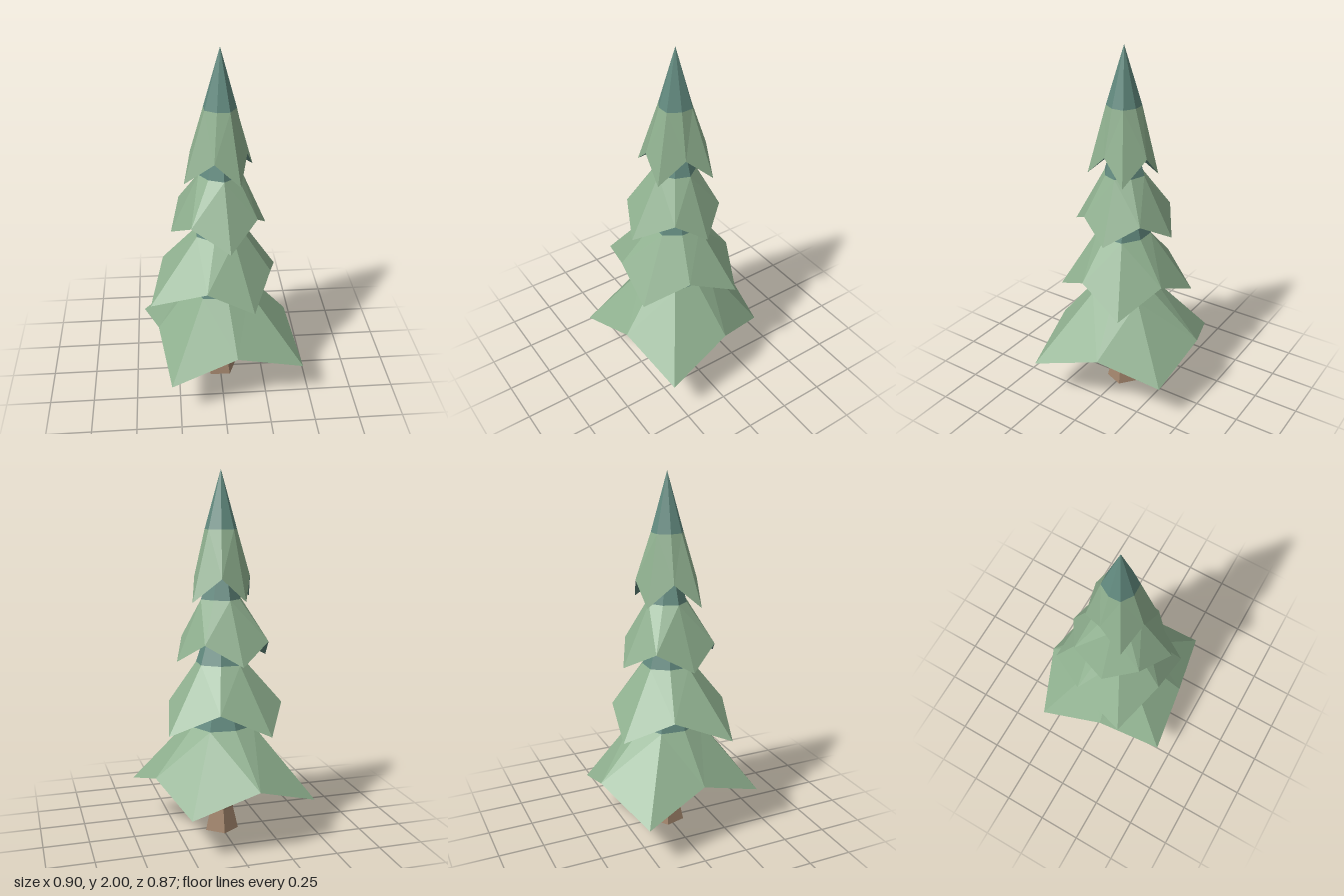
import * as THREE from 'three';

const mat = (name, color) => {
  const m = new THREE.MeshStandardMaterial({ color, flatShading: true });
  m.name = name;
  return m;
};

// Each tier: corners alternate low branch tip / raised notch, as x, z pairs around the trunk.
const TIERS = [
  { low: 0.23, notch: 0.36, ringY: 0.62, ringR: 0.182, apex: 1.08,
    corners: [.45, .31, .07, .38, -.295, .43, -.36, .06, -.45, -.30, -.09, -.435, .265, -.40, .39, -.08] },
  { low: 0.62, notch: 0.745, ringY: 0.97, ringR: 0.142, apex: 1.4,
    corners: [.165, .32, -.09, .30, -.395, .205, -.32, -.10, -.185, -.335, .085, -.295, .335, -.18, .275, .09] },
  { low: 0.99, notch: 1.10, ringY: 1.32, ringR: 0.112, apex: 1.72,
    corners: [.035, .30, -.165, .205, -.27, .035, -.22, -.16, -.045, -.275, .14, -.19, .255, -.035, .19, .13] },
  { low: 1.315, notch: 1.44, ringY: 1.69, ringR: 0.09, apex: 2,
    corners: [.095, .17, -.04, .155, -.195, .11, -.155, -.03, -.095, -.155, .04, -.165, .185, -.11, .14, .03] },
];

// Mesh from a list of triangle corner points
function facets(name, points, material) {
  const geo = new THREE.BufferGeometry().setFromPoints(points);
  geo.computeVertexNormals();
  const mesh = new THREE.Mesh(geo, material);
  mesh.name = name;
  return mesh;
}

function makeTier(t, green, teal) {
  const skirt = [], ring = [];
  for (let i = 0; i < 8; i++) {
    const x = t.corners[2 * i], z = t.corners[2 * i + 1];
    const a = Math.atan2(z, x), r = t.ringR * (i % 2 ? 0.96 : 1.04);
    skirt.push(new THREE.Vector3(x, i % 2 ? t.notch : t.low, z));
    ring.push(new THREE.Vector3(r * Math.cos(a), t.ringY, r * Math.sin(a)));
  }
  const apex = new THREE.Vector3(0, t.apex, 0);
  const core = new THREE.Vector3(0, t.notch + 0.04, 0);

  const boughs = [], tip = [], under = [];
  for (let i = 0; i < 8; i++) {
    const j = (i + 1) % 8;
    // Split each panel from its notch to the ring above the branch tip
    if (i % 2) boughs.push(skirt[i], ring[i], ring[j], skirt[i], ring[j], skirt[j]);
    else boughs.push(skirt[i], ring[i], skirt[j], skirt[j], ring[i], ring[j]);
    tip.push(ring[i], apex, ring[j]);
    under.push(skirt[i], skirt[j], core);
  }
  const tier = new THREE.Group();
  tier.add(
    facets('boughs', boughs, green),
    facets('shadedTip', tip, teal),
    facets('underside', under, teal),
  );
  return tier;
}

export function createModel() {
  const green = mat('needleGreen', 0x8fb08f);
  const teal = mat('deepTeal', 0x628a7f);
  const brown = mat('barkBrown', 0xa1846b);
  const tree = new THREE.Group();
  tree.name = 'pineTree';

  // Five-sided trunk with a flared foot
  const profile = [[0, 0], [0.098, 0], [0.069, 0.125], [0.061, 0.36], [0.058, 0.5]]
    .map(([r, y]) => new THREE.Vector2(r, y));
  const trunk = new THREE.Mesh(
    new THREE.LatheGeometry(profile, 5, THREE.MathUtils.degToRad(33)), brown);
  trunk.name = 'trunk';
  tree.add(trunk);

  // Stacked foliage tiers
  TIERS.forEach((t, i) => {
    const tier = makeTier(t, green, teal);
    tier.name = `foliageTier${i + 1}`;
    tree.add(tier);
  });
  return tree;
}
